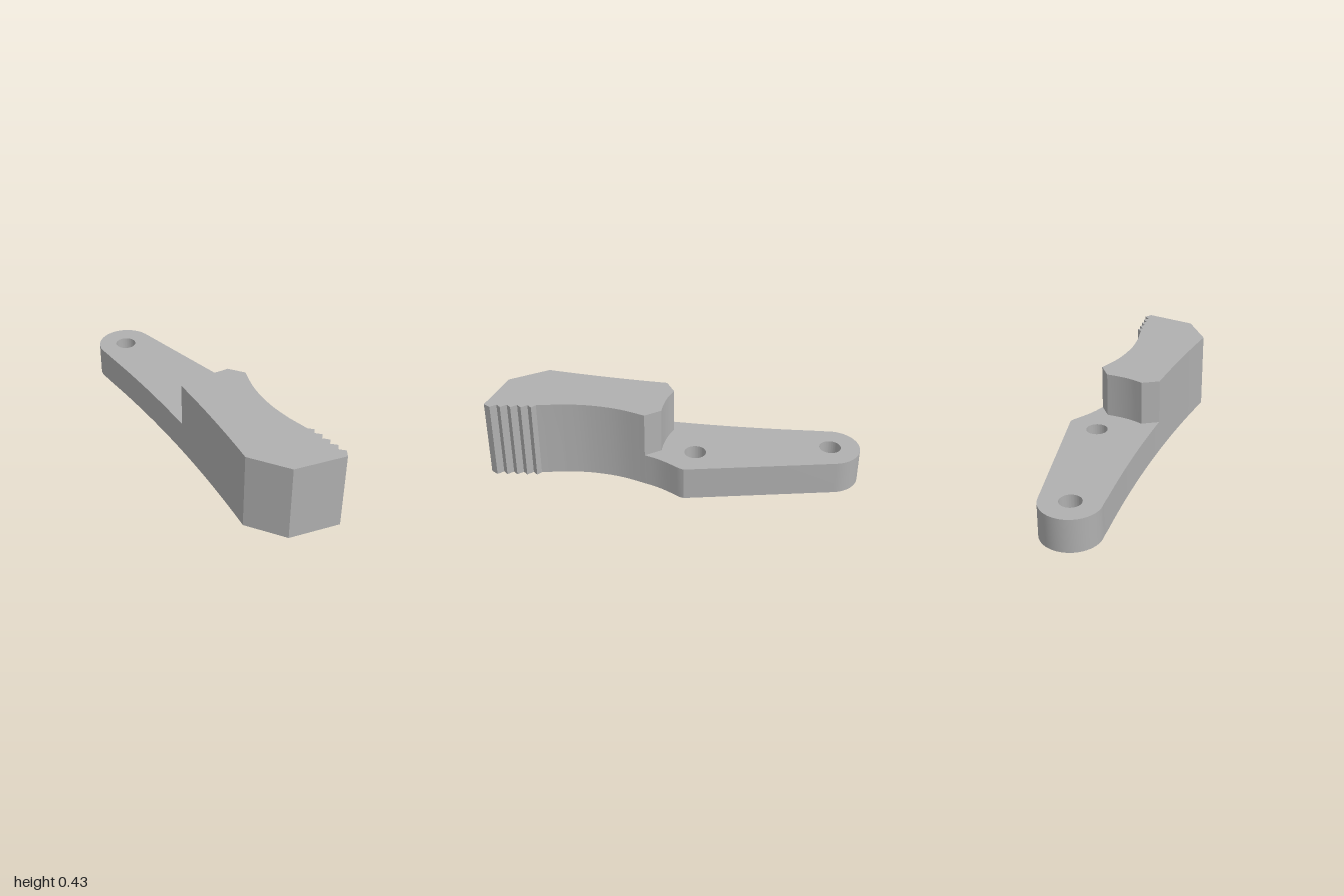
import * as THREE from 'three';
import { toCreasedNormals } from 'three/addons/utils/BufferGeometryUtils.js';

const ARM_HEIGHT = 0.183, JAW_HEIGHT = 0.43;
const HOLES = [[-0.84, -0.18], [-0.11, -0.18]];
const END = { x: -0.84, z: -0.18, r: 0.16 };

const toPoints = (list) => list.map(([x, z]) => new THREE.Vector2(x, z));

// Samples a curve between two parameters, both ends included
function sample(curve, from, to, steps) {
  return Array.from({ length: steps + 1 }, (_, i) =>
    curve.getPoint(from + ((to - from) * i) / steps));
}

// Raises a plan outline, given as x and z, to a height above the ground
function raise(outline, height, holes = []) {
  const shape = new THREE.Shape(outline.map((p) => new THREE.Vector2(p.x, -p.y)));
  for (const [x, z] of holes) {
    shape.holes.push(new THREE.Path().absarc(x, -z, 0.058, 0, Math.PI * 2, true));
  }
  const geometry = new THREE.ExtrudeGeometry(shape, { depth: height, bevelEnabled: false, curveSegments: 32 });
  geometry.rotateX(-Math.PI / 2);
  return toCreasedNormals(geometry, 0.45);
}

export function createModel() {
  const group = new THREE.Group();
  group.name = 'toothedLever';
  const grey = new THREE.MeshStandardMaterial({ color: 0xb0b0b0 });
  grey.name = 'grey';

  // Long bowed edge along the front, shared by arm and jaw
  const frontEdge = new THREE.QuadraticBezierCurve(
    ...toPoints([[-0.82, -0.015], [-0.065, 0.085], [0.67, 0.335]]));
  const frontSplit = 0.56;

  // Concave edge along the back, split at its third point
  const backEdge = new THREE.SplineCurve(toPoints([
    [-0.015, -0.328], [0.075, -0.248], [0.16, -0.193], [0.3, -0.117], [0.457, -0.068], [0.6, -0.05]]));
  const backSplit = 2 / 5;

  // Step between arm and jaw, from the front edge to the back edge
  const step = [
    ...toPoints([[-0.013, 0.05]]),
    ...sample(new THREE.QuadraticBezierCurve(
      ...toPoints([[0.015, 0.005], [0.05, -0.06], [0.068, -0.15]])), 0, 1, 6),
  ];

  // Round end of the arm, running from back to front
  const roundEnd = Array.from({ length: 25 }, (_, i) => {
    const a = -Math.PI / 2 - (i / 24) * Math.PI;
    return new THREE.Vector2(END.x + END.r * Math.cos(a), END.z + END.r * Math.sin(a));
  });

  const arm = new THREE.Mesh(raise([
    ...roundEnd,
    ...sample(frontEdge, 0.03, frontSplit, 16),
    ...step,
    ...sample(backEdge, backSplit, 0, 8),
    ...toPoints([[-0.035, -0.34]]),
  ], ARM_HEIGHT, HOLES), grey);
  arm.name = 'arm';

  // Saw teeth along the back of the jaw tip
  const teeth = toPoints([[0.725, -0.05]]);
  for (let i = 0; i < 5; i++) {
    const x = 0.75 + i * 0.0545, z = -0.072 + i * 0.0053;
    teeth.push(new THREE.Vector2(x, z));
    if (i < 4) teeth.push(new THREE.Vector2(x + 0.02, z + 0.027));
  }

  const jaw = new THREE.Mesh(raise([
    ...sample(frontEdge, frontSplit, 1, 12),
    ...toPoints([[0.89, 0.24], [1, -0.02]]),
    ...teeth.reverse(),
    ...sample(backEdge, 1, backSplit, 14),
    ...step.reverse(),
  ], JAW_HEIGHT), grey);
  jaw.name = 'jaw';

  group.add(arm, jaw);
  return group;
}
